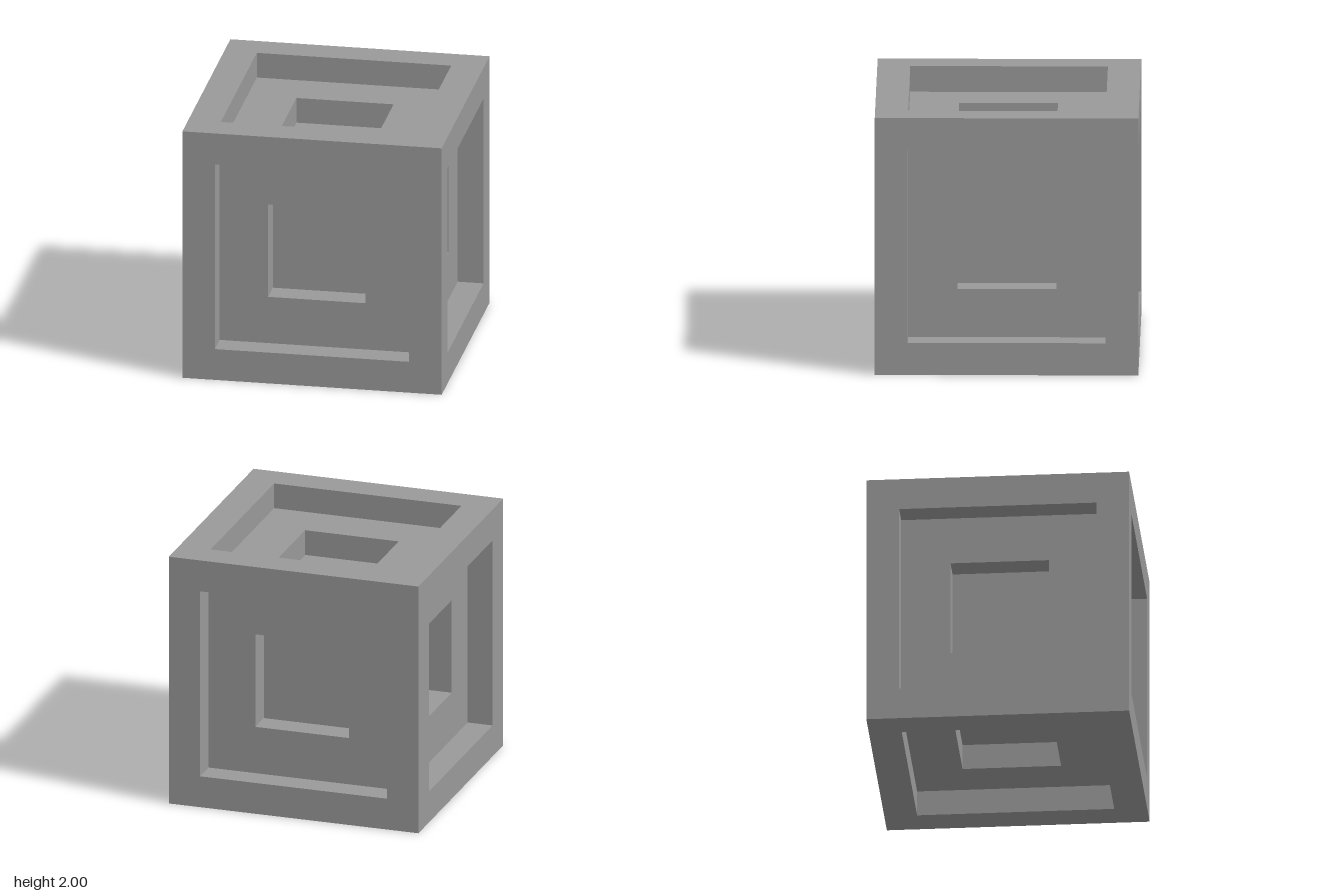
import * as THREE from 'three';

export function createModel() {
  const group = new THREE.Group();
  group.name = 'steppedCube';
  const grey = new THREE.MeshStandardMaterial({ color: 0x999999 });
  grey.name = 'grey';

  // Stepped square recess: [half width, distance from cube centre], rim to floor
  const profile = [[1, 1], [0.75, 1], [0.75, 0.8], [0.375, 0.8], [0.375, 0.6], [0, 0.6]]
    .map(([half, height]) => new THREE.Vector2(half * Math.SQRT2, height));

  // Four-sided lathe turns the profile into one square face with crisp edges
  const face = new THREE.LatheGeometry(profile, 4, Math.PI / 4).toNonIndexed();
  face.computeVertexNormals();

  // The same face on all six sides
  const q = Math.PI / 2;
  const sides = {
    topFace: [0, 0, 0],
    bottomFace: [Math.PI, 0, 0],
    frontFace: [q, 0, 0],
    backFace: [-q, 0, 0],
    leftFace: [0, 0, -q],
    rightFace: [0, 0, q],
  };
  for (const [name, rotation] of Object.entries(sides)) {
    const mesh = new THREE.Mesh(face, grey);
    mesh.name = name;
    mesh.rotation.set(...rotation);
    mesh.position.y = 1;
    group.add(mesh);
  }
  return group;
}
